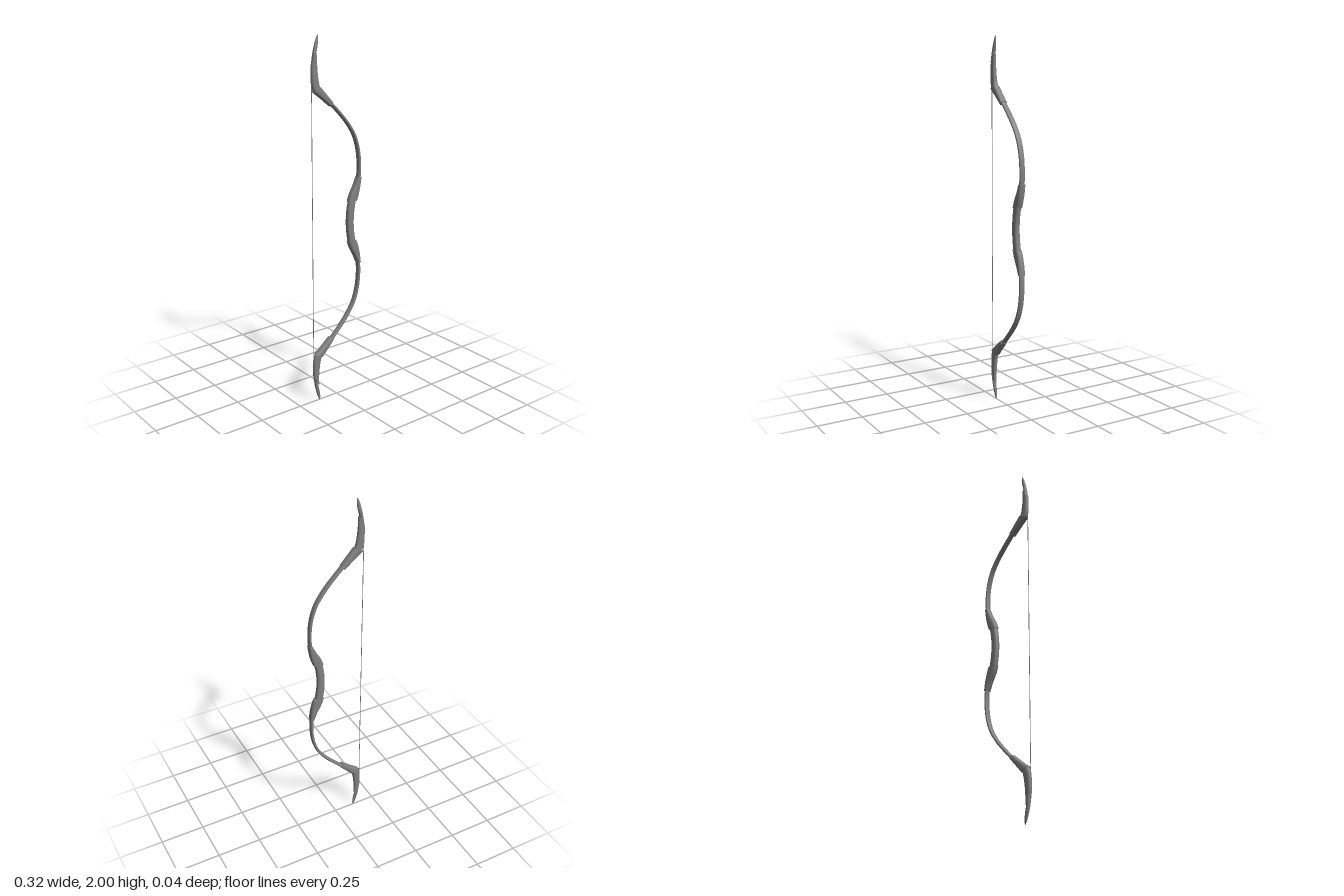
import * as THREE from 'three';

const MAT = new THREE.MeshStandardMaterial({ color: 0x808080, side: THREE.DoubleSide });
const SIDES = 20;
const lerp = THREE.MathUtils.lerp;

// Smooth loft through sections [ax, ay, bx, by]; a = string side edge, b = far edge.
// The half depth in z runs evenly from d0 to d1.
function loft(sections, d0, d1, steps, squareness) {
  const edge = (k) => new THREE.CatmullRomCurve3(sections.map((s) => new THREE.Vector3(s[k], s[k + 1], 0)));
  const edgeA = edge(0), edgeB = edge(2);
  const pos = [], idx = [];
  const soft = (v) => Math.sign(v) * Math.pow(Math.abs(v), squareness);
  const ring = (t) => {
    const a = edgeA.getPoint(t), b = edgeB.getPoint(t);
    for (let j = 0; j < SIDES; j++) {
      const ang = (j / SIDES) * Math.PI * 2;
      const u = 0.5 + 0.5 * soft(Math.cos(ang));
      pos.push(lerp(a.x, b.x, u), lerp(a.y, b.y, u), lerp(d0, d1, t) * soft(Math.sin(ang)));
    }
    return a.add(b).multiplyScalar(0.5);
  };
  for (let i = 0; i <= steps; i++) ring(i / steps);
  for (let i = 0; i < steps; i++) {
    for (let j = 0; j < SIDES; j++) {
      const k = (j + 1) % SIDES, p = i * SIDES, q = p + SIDES;
      idx.push(p + j, q + j, p + k, p + k, q + j, q + k);
    }
  }
  // Flat end caps with their own vertices
  for (const t of [0, 1]) {
    const base = pos.length / 3;
    const c = ring(t);
    pos.push(c.x, c.y, 0);
    for (let j = 0; j < SIDES; j++) {
      const k = (j + 1) % SIDES;
      idx.push(base + SIDES, base + (t ? k : j), base + (t ? j : k));
    }
  }
  const g = new THREE.BufferGeometry();
  g.setAttribute('position', new THREE.Float32BufferAttribute(pos, 3));
  g.setIndex(idx);
  g.computeVertexNormals();
  return g;
}

// Sections of even half thickness, square to a centre line of [x, y]
function alongSpine(points, half) {
  const curve = new THREE.CatmullRomCurve3(points.map(([x, y]) => new THREE.Vector3(x, y, 0)));
  return points.map(([x, y], i) => {
    const tan = curve.getTangent(i / (points.length - 1));
    return [x - tan.y * half, y + tan.x * half, x + tan.y * half, y - tan.x * half];
  });
}

// Mirror about the grip centre, swapping the ends to keep the winding right
const flip = (sections) => sections.map(([ax, ay, bx, by]) => [ax, 2 - ay, bx, 2 - by]).reverse();

export function createModel() {
  const bow = new THREE.Group();
  bow.name = 'recurveBow';
  const add = (parent, name, geometry) => {
    const m = new THREE.Mesh(geometry, MAT);
    m.name = name;
    parent.add(m);
    return m;
  };

  // Grip, bulging towards the string
  const gripLine = [-2, -1, 0, 1, 2].map((i) => [0.09 + 0.0033 * i * i, 1 + 0.0575 * i]);
  add(bow, 'grip', loft(alongSpine(gripLine, 0.0215), 0.0165, 0.0165, 24, 0.7));

  // Upper and lower arm, mirrored
  const arms = [true, false].map((upper) => {
    const arm = new THREE.Group();
    arm.name = upper ? 'upperArm' : 'lowerArm';
    bow.add(arm);
    return { arm, upper };
  });
  const addPair = (name, sections, d0, d1, steps, squareness) => {
    for (const { arm, upper } of arms) {
      add(arm, name, upper
        ? loft(sections, d0, d1, steps, squareness)
        : loft(flip(sections), d1, d0, steps, squareness));
    }
  };

  // Collar swelling from the limb into the grip
  addPair('gripCollar', [
    [0.076, 1.11, 0.132, 1.114], [0.09, 1.15, 0.143, 1.145],
    [0.117, 1.197, 0.153, 1.19], [0.137, 1.24, 0.159, 1.24],
  ], 0.019, 0.019, 16, 0.6);

  // Thin bending limb
  addPair('limb', alongSpine([
    [0.144, 1.21], [0.15, 1.27], [0.149, 1.33], [0.139, 1.4],
    [0.115, 1.47], [0.077, 1.53], [0.03, 1.585], [-0.06, 1.675],
  ], 0.008), 0.015, 0.015, 40, 0.7);

  // Collar where the limb meets the stiff tip
  addPair('tipCollar', [
    [-0.046, 1.639, -0.028, 1.658], [-0.098, 1.681, -0.067, 1.701], [-0.148, 1.718, -0.103, 1.741],
  ], 0.019, 0.0195, 14, 0.6);

  // Stiff tip, turning upright and narrowing
  addPair('stiffTip', [
    [-0.143, 1.715, -0.105, 1.735], [-0.155, 1.745, -0.112, 1.757], [-0.159, 1.8, -0.12, 1.805],
    [-0.157, 1.86, -0.124, 1.863], [-0.146, 1.89, -0.123, 1.905],
  ], 0.0165, 0.009, 24, 0.75);

  // Pointed horn beyond the string notch
  addPair('tipHorn', [
    [-0.154, 1.86, -0.138, 1.86], [-0.148, 1.91, -0.129, 1.91], [-0.139, 1.95, -0.119, 1.95],
    [-0.13, 1.98, -0.115, 1.98], [-0.12, 2, -0.116, 2],
  ], 0.0135, 0.002, 20, 0.85);

  // Bowstring
  const string = add(bow, 'bowstring', new THREE.CylinderGeometry(0.0018, 0.0018, 1.6, 8));
  string.position.set(-0.157, 1, 0);
  return bow;
}
